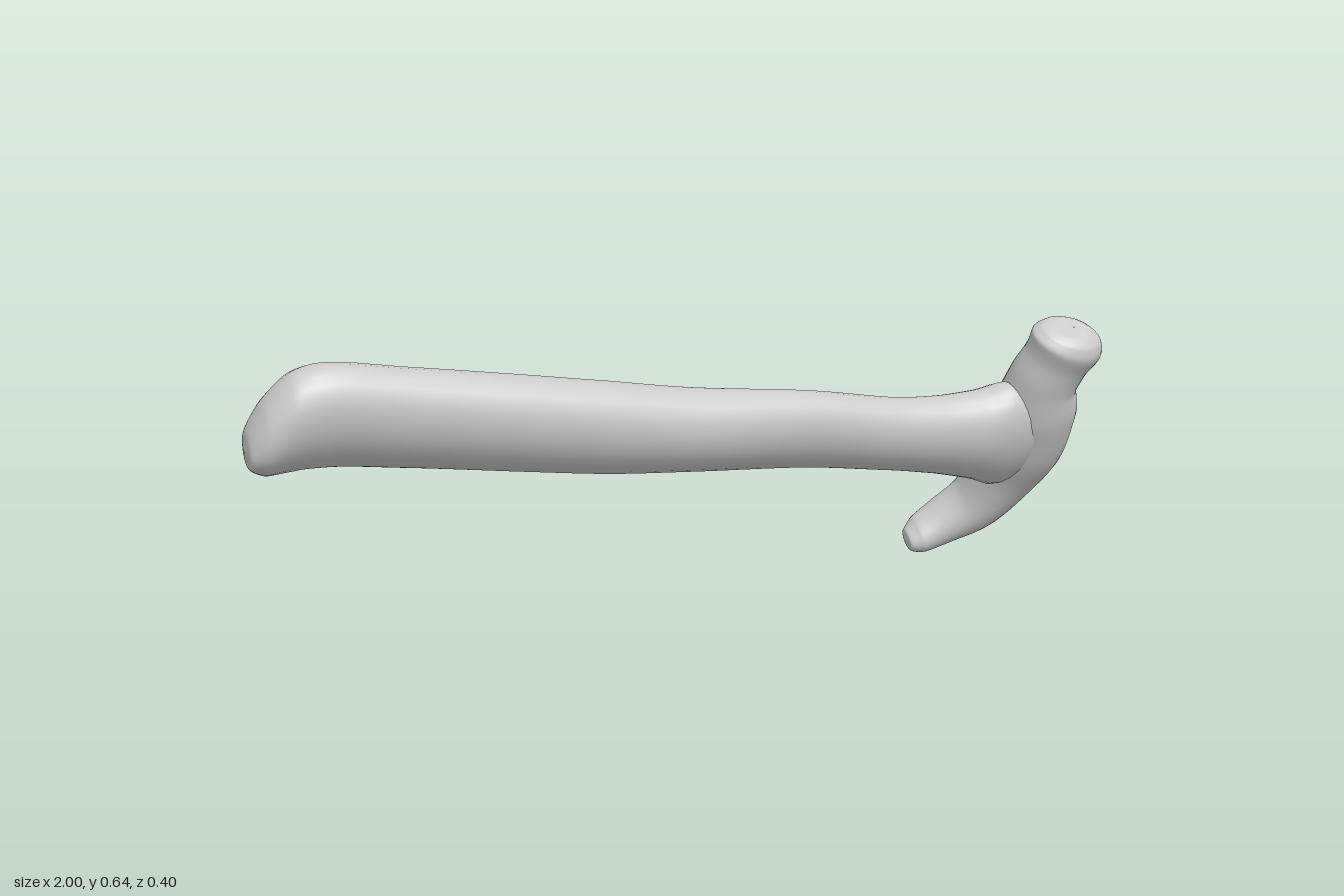
import * as THREE from 'three';

// The hammer lies rolled about its handle: SIDE is the normal of the plane holding handle and head
const SIDE = new THREE.Vector3(0, -0.45, 0.893).normalize();
const X = new THREE.Vector3(1, 0, 0);
const AROUND = 28;

// Smooth skin over elliptical sections [x, y, z, half width in plane, half thickness]
function loft(name, sections, steps, fixedTangent) {
  const path = new THREE.CatmullRomCurve3(sections.map(s => new THREE.Vector3(s[0], s[1], s[2])));
  const size = new THREE.CatmullRomCurve3(sections.map(s => new THREE.Vector3(s[3], s[4], 0)));
  const pos = [], index = [];
  for (let i = 0; i <= steps; i++) {
    const t = i / steps;
    const c = path.getPoint(t), r = size.getPoint(t);
    const across = new THREE.Vector3().crossVectors(SIDE, fixedTangent || path.getTangent(t)).normalize();
    for (let j = 0; j < AROUND; j++) {
      const a = j / AROUND * Math.PI * 2;
      const p = c.clone()
        .addScaledVector(across, Math.cos(a) * Math.max(r.x, 0.001))
        .addScaledVector(SIDE, Math.sin(a) * Math.max(r.y, 0.001));
      pos.push(p.x, p.y, p.z);
      if (i < steps) {
        const k = (j + 1) % AROUND, n = i * AROUND;
        index.push(n + j, n + k, n + AROUND + j, n + k, n + AROUND + k, n + AROUND + j);
      }
    }
  }
  const geo = new THREE.BufferGeometry();
  geo.setAttribute('position', new THREE.Float32BufferAttribute(pos, 3));
  geo.setIndex(index);
  geo.computeVertexNormals();
  const mesh = new THREE.Mesh(geo, new THREE.MeshStandardMaterial({ color: 0xcccccc }));
  mesh.name = name;
  return mesh;
}

export function createModel() {
  const group = new THREE.Group();
  group.name = 'hammer';

  // Handle, from the slanted butt to the flare inside the head
  group.add(loft('handle', [
    [-1.0, 0.465, 0.105, 0, 0],
    [-0.995, 0.468, 0.105, 0.035, 0.045],
    [-0.96, 0.49, 0.105, 0.083, 0.074],
    [-0.9, 0.52, 0.105, 0.116, 0.085],
    [-0.83, 0.528, 0.103, 0.125, 0.086],
    [-0.65, 0.505, 0.095, 0.121, 0.085],
    [-0.4, 0.468, 0.083, 0.117, 0.087],
    [-0.2, 0.438, 0.072, 0.113, 0.086],
    [0, 0.413, 0.062, 0.102, 0.082],
    [0.3, 0.382, 0.042, 0.098, 0.07],
    [0.5, 0.35, 0.028, 0.094, 0.069],
    [0.62, 0.335, 0.018, 0.101, 0.073],
    [0.72, 0.325, 0.01, 0.117, 0.082],
    [0.79, 0.32, 0.005, 0.14, 0.084],
    [0.87, 0.32, 0.0, 0.12, 0.07],
    [0.88, 0.32, 0.0, 0, 0],
  ], 110, X));

  // Head, from the claw tip through the body and neck to the striking knob
  group.add(loft('head', [
    [0.624, 0.035, -0.14, 0, 0],
    [0.63, 0.036, -0.14, 0.02, 0.03],
    [0.66, 0.045, -0.145, 0.037, 0.05],
    [0.72, 0.075, -0.14, 0.047, 0.062],
    [0.79, 0.122, -0.115, 0.062, 0.073],
    [0.84, 0.2, -0.078, 0.083, 0.083],
    [0.87, 0.29, -0.025, 0.1, 0.092],
    [0.875, 0.38, 0.02, 0.1, 0.09],
    [0.875, 0.45, 0.053, 0.083, 0.078],
    [0.893, 0.505, 0.08, 0.081, 0.072],
    [0.908, 0.547, 0.1, 0.09, 0.076],
    [0.914, 0.572, 0.113, 0.074, 0.062],
    [0.916, 0.584, 0.119, 0.04, 0.035],
    [0.916, 0.586, 0.12, 0, 0],
  ], 90));

  return group;
}
